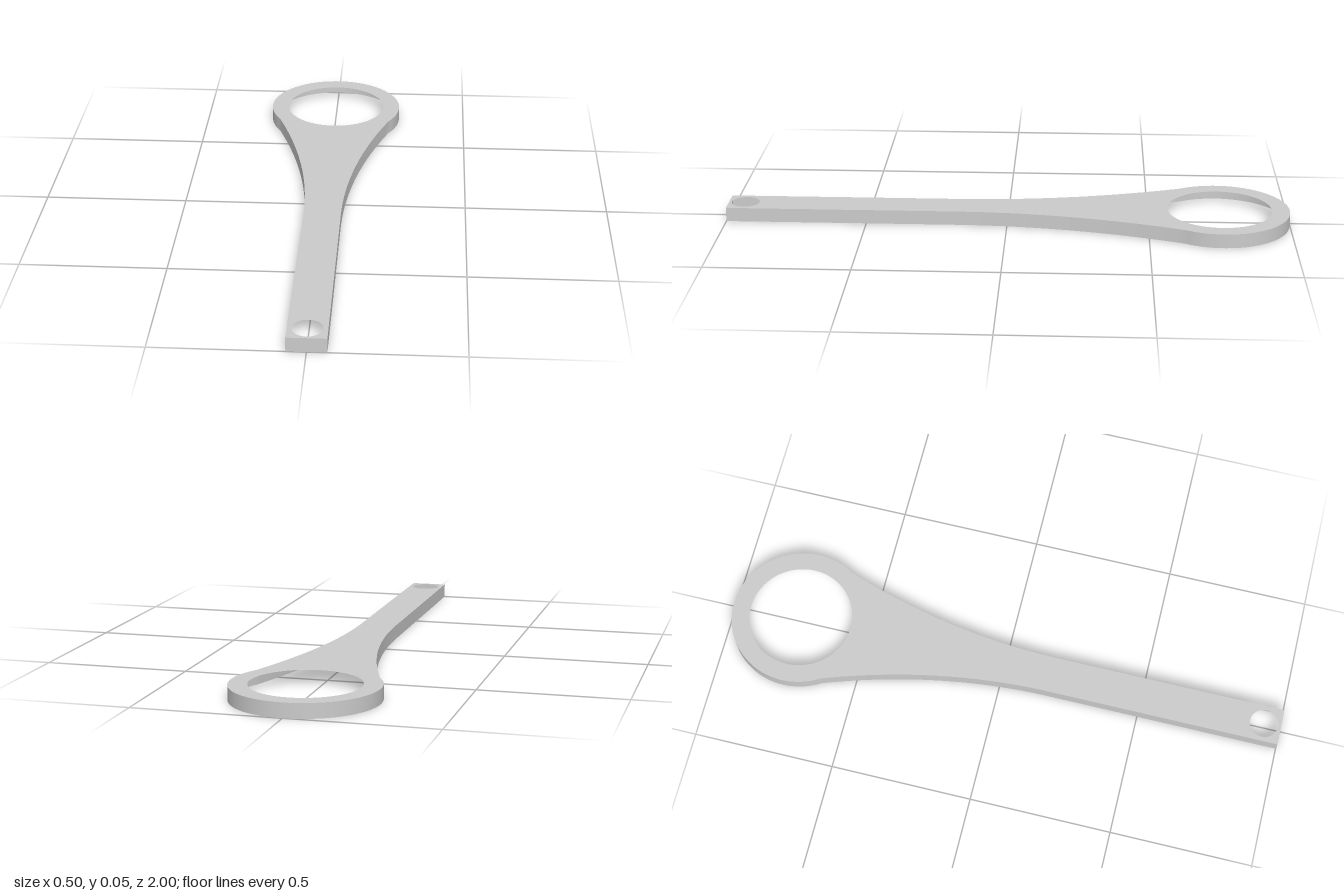
import * as THREE from 'three';
import { toCreasedNormals } from 'three/addons/utils/BufferGeometryUtils.js';

const THICK = 0.05, HALF = 0.065;          // plate height, half width of the handle
const HEAD = { y: 0.752, r: 0.248, hole: 0.185 };
const JOIN = { x: 0.21, y: 0.62 };         // where the taper meets the round head
const TAPER = -0.18;                       // where the handle begins to widen

function addHole(shape, y, r) {
  const hole = new THREE.Path();
  hole.absarc(0, y, r, 0, Math.PI * 2, true);
  shape.holes.push(hole);
}

// Outline in plan, counter-clockwise; shape y points to the back
function makeOutline() {
  const s = new THREE.Shape();
  const a = Math.atan2(JOIN.y - HEAD.y, JOIN.x);
  const mid = (TAPER + JOIN.y) / 2;
  s.moveTo(-HALF, -1);
  s.lineTo(HALF, -1);
  s.lineTo(HALF, TAPER);
  s.quadraticCurveTo(HALF, mid, JOIN.x, JOIN.y);
  s.absarc(0, HEAD.y, HEAD.r, a, Math.PI - a, false);
  s.lineTo(-JOIN.x, JOIN.y);
  s.quadraticCurveTo(-HALF, mid, -HALF, TAPER);
  s.lineTo(-HALF, -1);
  return s;
}

// Upright wall following a closed outline, open above and below
function makeWall(points, height) {
  const pos = [];
  for (let i = 0; i < points.length; i++) {
    const p = points[i], q = points[(i + 1) % points.length];
    if (p.distanceTo(q) < 1e-4) continue;
    pos.push(p.x, p.y, 0, q.x, q.y, 0, q.x, q.y, height);
    pos.push(p.x, p.y, 0, q.x, q.y, height, p.x, p.y, height);
  }
  const g = new THREE.BufferGeometry();
  g.setAttribute('position', new THREE.Float32BufferAttribute(pos, 3));
  return toCreasedNormals(g, 0.4);
}

export function createModel() {
  const group = new THREE.Group();
  group.name = 'ringHandle';
  const material = new THREE.MeshStandardMaterial({ color: 0xcccccc, side: THREE.DoubleSide });

  const outline = makeOutline();
  const rim = outline.getPoints(32);
  addHole(outline, HEAD.y, HEAD.hole);     // large ring opening
  addHole(outline, -0.94, 0.05);           // small hanging hole

  // Top plate, hollow underneath
  const top = new THREE.Mesh(new THREE.ShapeGeometry(outline, 32), material);
  top.name = 'topPlate';
  top.rotation.x = -Math.PI / 2;
  top.position.y = THICK;

  // Skirt wall round the outer edge
  const wall = new THREE.Mesh(makeWall(rim, THICK), material);
  wall.name = 'outerWall';
  wall.rotation.x = -Math.PI / 2;

  group.add(top, wall);
  return group;
}
